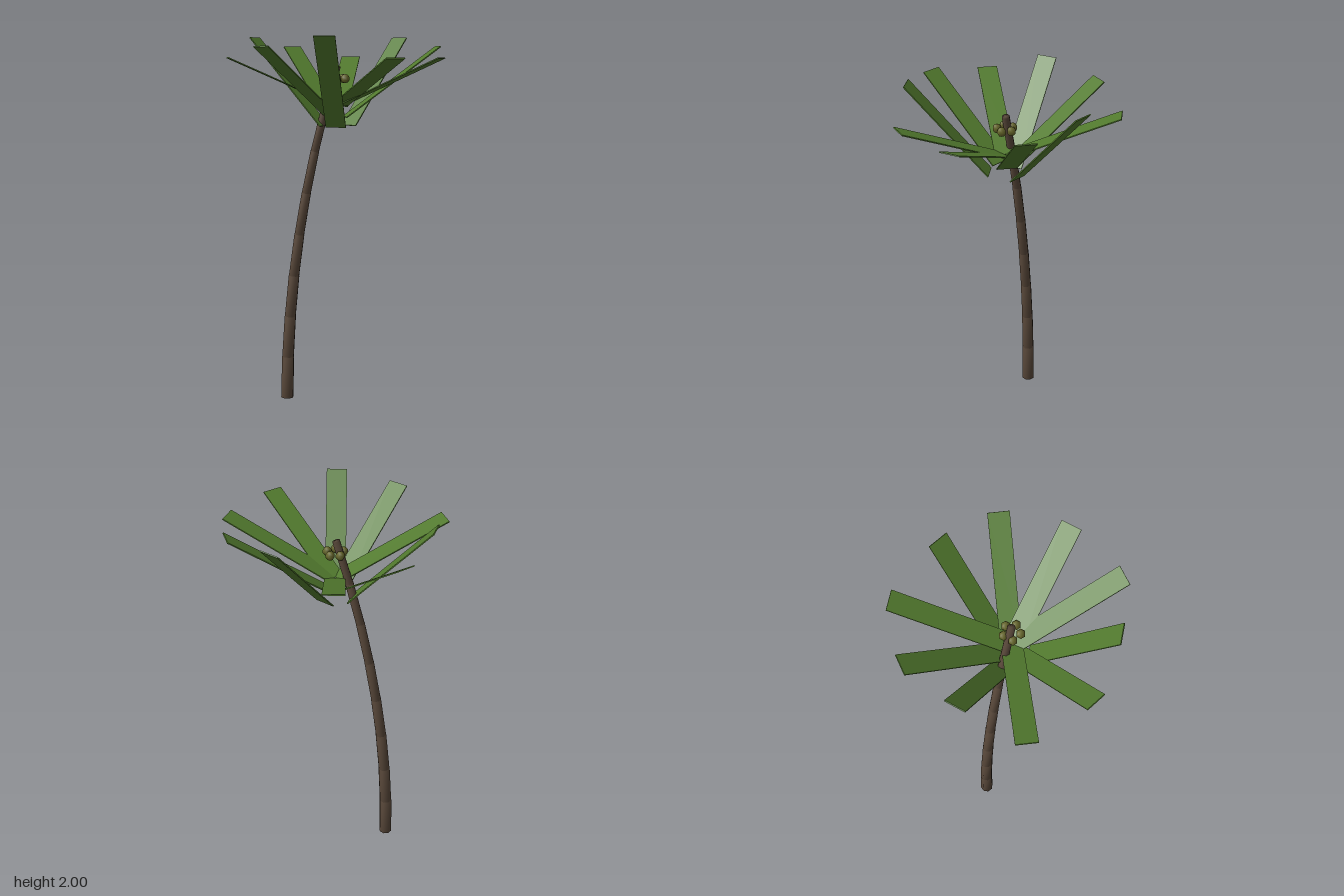
import * as THREE from 'three';
import { mergeVertices } from 'three/addons/utils/BufferGeometryUtils.js';

const rad = THREE.MathUtils.degToRad;
const CROWN_X = -0.038, AXIS_Z = 0.013;

function material(name, color) {
  const m = new THREE.MeshStandardMaterial({ color });
  m.name = name;
  return m;
}

// Weld all corners so the shading runs smoothly over caps and sides
function smooth(geometry) {
  geometry.deleteAttribute('normal');
  geometry.deleteAttribute('uv');
  const welded = mergeVertices(geometry, 1e-4);
  welded.computeVertexNormals();
  return welded;
}

export function createModel() {
  const bark = material('bark brown', 0x5a493b);
  const leafGreen = material('leaf green', 0x527a2e);
  const nutOlive = material('nut olive', 0x66662a);

  const palm = new THREE.Group();
  palm.name = 'palmTree';

  // Trunk: tapered segments, each leaning a little more than the last
  const trunk = new THREE.Group();
  trunk.name = 'trunk';
  const LENGTH = 0.235;
  let x = -0.357, y = 0.002;
  for (let i = 0; i < 8; i++) {
    const lean = rad(1.8 + 2.25 * i);
    const bottom = 0.036 - 0.0021 * i;
    const segment = new THREE.Mesh(
      smooth(new THREE.CylinderGeometry(bottom - 0.001, bottom, LENGTH + 0.004, 8)), bark);
    segment.name = 'trunkSegment';
    const dx = Math.sin(lean) * LENGTH, dy = Math.cos(lean) * LENGTH;
    segment.position.set(x + dx / 2, y + dy / 2, AXIS_Z);
    segment.rotation.z = -lean;
    trunk.add(segment);
    x += dx;
    y += dy;
  }
  palm.add(trunk);

  // Fronds: ten flat blades in a ring, cycling through three tilts
  const crown = new THREE.Group();
  crown.name = 'crown';
  crown.position.set(CROWN_X, 0, AXIS_Z);
  const blade = new THREE.BoxGeometry(0.62, 0.006, 0.105);
  for (let i = 0; i < 10; i++) {
    const arm = new THREE.Group();
    arm.name = 'frond';
    arm.rotation.y = rad(36 * i);
    const leaf = new THREE.Mesh(blade, leafGreen);
    leaf.name = 'frondBlade';
    leaf.position.set(0.289, 1.767, 0);
    leaf.rotation.z = rad(24 + 12 * (i % 3));
    arm.add(leaf);
    crown.add(arm);
  }

  // Nuts: a ring of five around the top of the trunk
  const nutShape = smooth(new THREE.SphereGeometry(0.024, 6, 5).rotateY(Math.PI / 6));
  for (let i = 0; i < 5; i++) {
    const a = rad(72 * i);
    const nut = new THREE.Mesh(nutShape, nutOlive);
    nut.name = 'nut';
    nut.position.set(0.042 * Math.cos(a), 1.785, 0.042 * Math.sin(a));
    crown.add(nut);
  }
  palm.add(crown);

  return palm;
}
